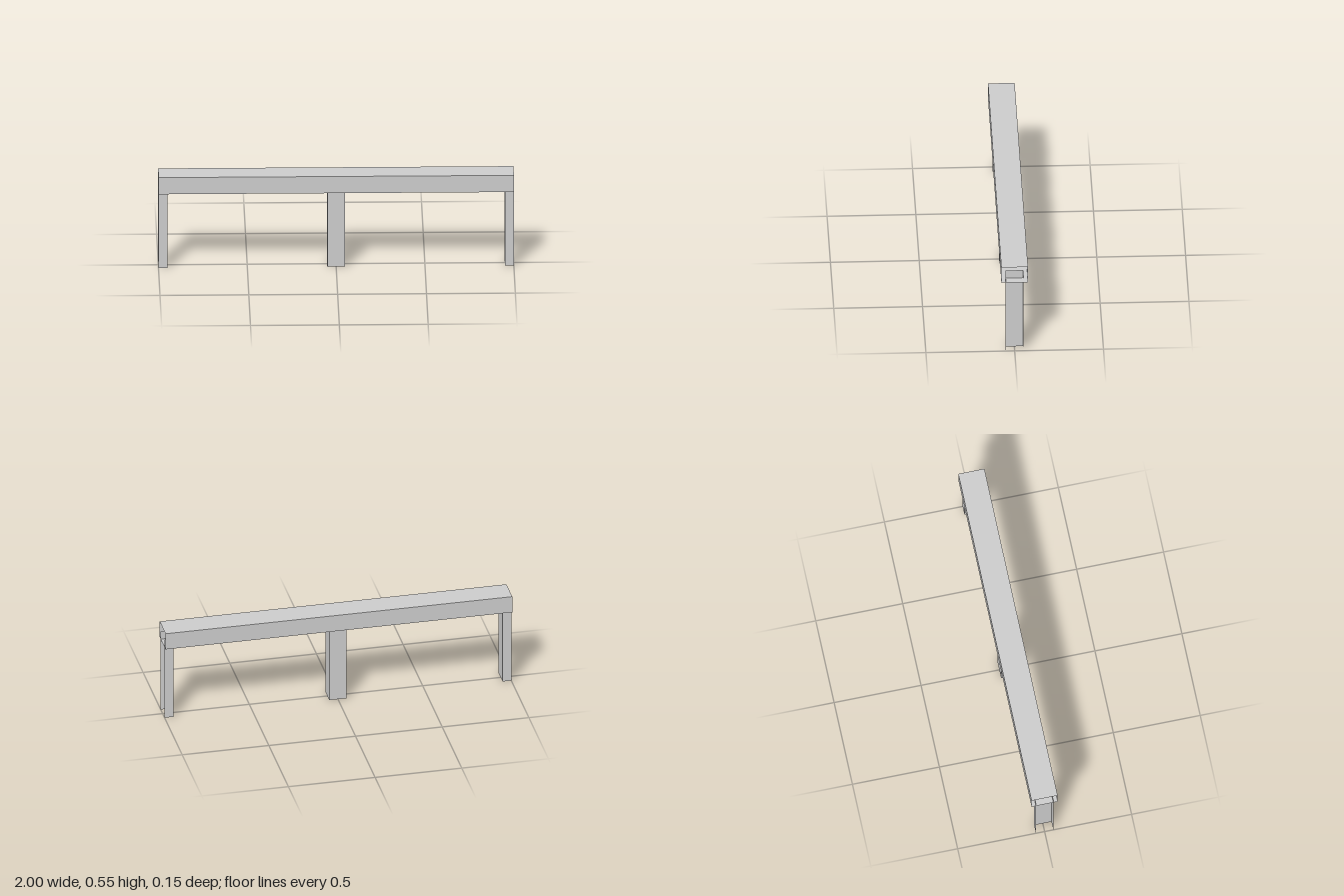
import * as THREE from 'three';

const material = new THREE.MeshStandardMaterial({ color: 0xcccccc, side: THREE.DoubleSide, flatShading: true });

// Thin-walled sleeve: sweeps a 2D outline [[u, v], ...] between two heights, without caps
function sleeve(name, outline, length, closed) {
  const positions = [];
  const count = closed ? outline.length : outline.length - 1;
  for (let i = 0; i < count; i++) {
    const [ax, az] = outline[i];
    const [bx, bz] = outline[(i + 1) % outline.length];
    positions.push(
      ax, 0, az, bx, 0, bz, bx, length, bz,
      ax, 0, az, bx, length, bz, ax, length, az
    );
  }
  const geometry = new THREE.BufferGeometry();
  geometry.setAttribute('position', new THREE.Float32BufferAttribute(positions, 3));
  geometry.computeVertexNormals();
  const mesh = new THREE.Mesh(geometry, material);
  mesh.name = name;
  return mesh;
}

// Corners run so that the outward side is the front of each wall
const rectangle = (w, d) => [[-w, d], [w, d], [w, -d], [-w, -d]];

export function createModel() {
  const model = new THREE.Group();
  model.name = 'beamOnPosts';

  // Hollow beam, open at both ends
  const beam = sleeve('beam', rectangle(0.05, 0.075), 2, true);
  beam.rotation.z = -Math.PI / 2;
  beam.position.set(-1, 0.5, 0);
  model.add(beam);

  // Square centre post, open at the bottom and reaching into the beam
  model.add(sleeve('centrePost', rectangle(0.05, 0.05), 0.5, true));

  // Channel-shaped end posts, open towards the outside
  const channel = [[0.05, -0.05], [0, -0.05], [0, 0.05], [0.05, 0.05]];
  for (const side of [1, -1]) {
    const post = sleeve(side > 0 ? 'leftPost' : 'rightPost', channel, 0.5, false);
    post.position.x = side * 0.95;
    if (side < 0) post.rotation.y = Math.PI;
    model.add(post);
  }

  return model;
}
